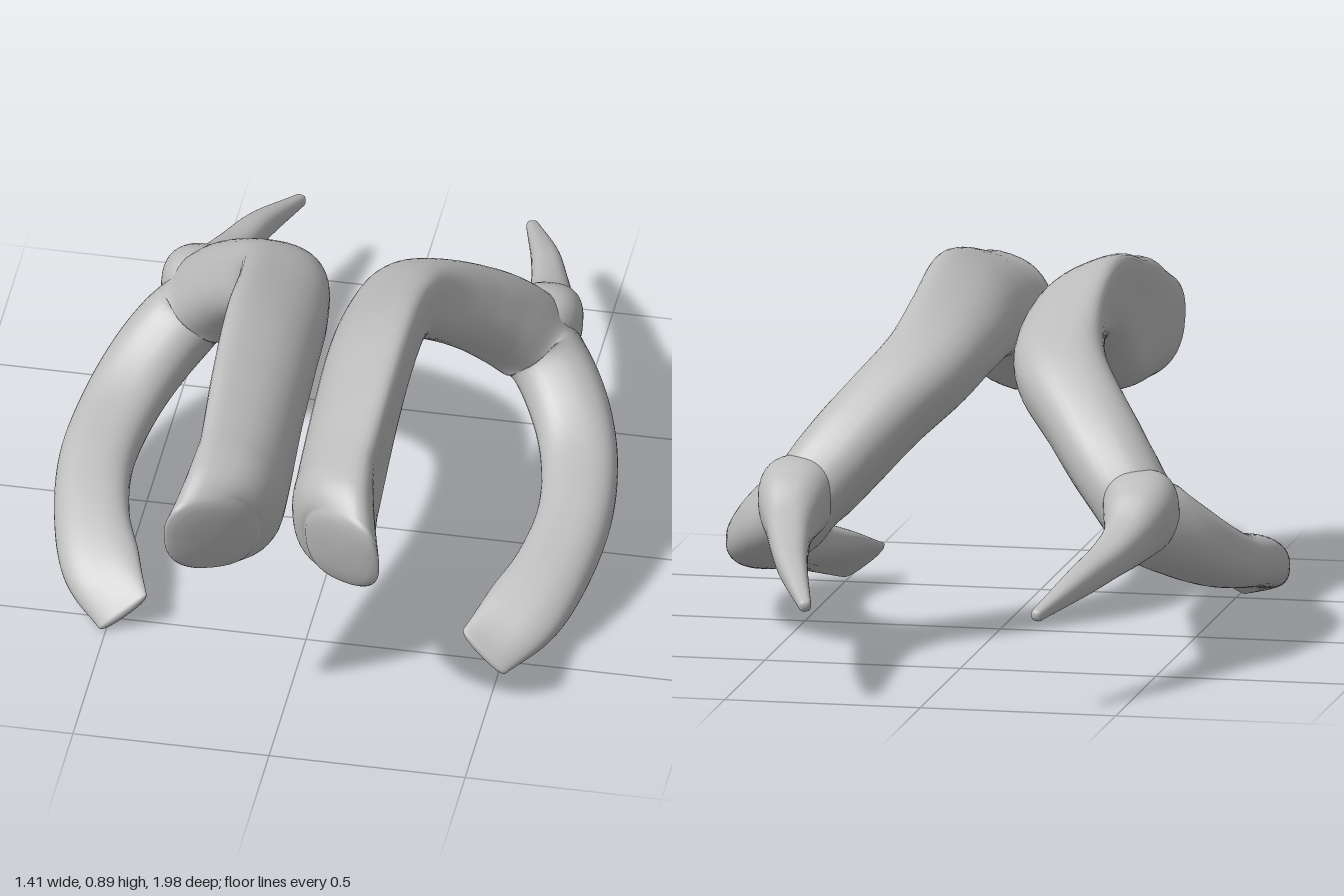
import * as THREE from 'three';

// Stations along each horn: x, y, z, half height, half width, lift of the lateral side
const ARCH = [
  [.168, .60, .902, .135, .11, .01],
  [.145, .622, .82, .163, .127, .025],
  [.14, .65, .70, .16, .128, .045],
  [.142, .727, .50, .125, .13, .055],
  [.142, .763, .30, .108, .13, .055],
  [.145, .74, .10, .093, .125, .04],
  [.175, .68, -.06, .10, .122, .01],
  [.26, .588, -.185, .105, .112, 0],
  [.355, .478, -.285, .11, .107, 0],
  [.44, .375, -.325, .11, .10, 0],
  [.525, .293, -.235, .09, .10, 0],
  [.585, .225, -.09, .073, .097, 0],
  [.61, .183, .10, .067, .094, 0],
  [.587, .14, .28, .06, .095, .01],
  [.535, .098, .42, .044, .097, .02],
  [.46, .052, .535, .016, .067, .035],
];
const SPUR = [
  [.41, .43, -.27, .03, .03, 0],
  [.435, .415, -.36, .092, .09, 0],
  [.441, .388, -.43, .094, .09, 0],
  [.43, .35, -.53, .064, .061, 0],
  [.405, .325, -.65, .046, .048, 0],
  [.365, .298, -.80, .037, .036, 0],
  [.297, .25, -.99, .016, .016, 0],
];

const LATERAL = new THREE.Vector3(1, 0, 0);
const squarer = (t) => Math.sign(t) * Math.abs(t) ** .8;

// Smooth loft through the stations; side = -1 mirrors it in x.
// hollow scoops the lateral face and bevel slants the end, both fading along the path.
function loft(stations, side, rings, hollow, bevel) {
  const around = 40;
  const curve = (n) => new THREE.CatmullRomCurve3(
    stations.map((s) => new THREE.Vector3(...s.slice(n, n + 3))), false, 'catmullrom', 0.5);
  const path = curve(0), size = curve(3);

  // Extra shrinking rings round off both ends
  const caps = [[0, .03], [.5, .028], [.8, .02], [.94, .01]];
  const steps = [
    ...caps.map(([scale, push]) => [0, scale, -push * .7]),
    ...Array.from({ length: rings + 1 }, (_, i) => [i / rings, 1, 0]),
    ...caps.reverse().map(([scale, push]) => [1, scale, push * .4]),
  ];
  const pos = [], index = [];
  steps.forEach(([t, scale, push], i) => {
    const centre = path.getPoint(t), along = path.getTangent(t), s = size.getPoint(t);
    const up = new THREE.Vector3().crossVectors(LATERAL, along).normalize();
    const wide = new THREE.Vector3().crossVectors(along, up).multiplyScalar(s.y);
    wide.addScaledVector(up, s.z);
    wide.z += bevel * Math.max(0, 1 - t * 7);
    centre.addScaledVector(new THREE.Vector3().crossVectors(up, wide).normalize(), push);
    const scoop = hollow * Math.max(0, 1 - t * 2) * Math.min(1, t * 8);

    for (let j = 0; j < around; j++) {
      const angle = j / around * Math.PI * 2, sin = Math.sin(angle);
      const across = squarer(sin) * scale * (sin > 0 ? 1 - scoop * sin * sin : 1);
      const p = centre.clone()
        .addScaledVector(up, squarer(Math.cos(angle)) * scale * s.x)
        .addScaledVector(wide, across);
      pos.push(p.x * side, p.y, p.z);
      if (i === steps.length - 1) continue;
      const p0 = i * around + j, p1 = i * around + (j + 1) % around;
      const q0 = p0 + around, q1 = p1 + around;
      if (side > 0) index.push(p0, p1, q0, p1, q1, q0);
      else index.push(p0, q0, p1, p1, q0, q1);
    }
  });
  const geo = new THREE.BufferGeometry();
  geo.setAttribute('position', new THREE.Float32BufferAttribute(pos, 3));
  geo.setIndex(index);
  geo.computeVertexNormals();
  return geo;
}

export function createModel() {
  const model = new THREE.Group();
  model.name = 'curvedHornPair';
  const grey = new THREE.MeshStandardMaterial({ color: 0xbcbcbc });
  grey.name = 'grey';
  for (const [side, label] of [[1, 'left'], [-1, 'right']]) {
    const half = new THREE.Group();
    half.name = label + 'Half';
    // Broad front horn arching back and curling under into the lower horn
    const arch = new THREE.Mesh(loft(ARCH, side, 120, .5, .09), grey);
    arch.name = label + 'ArchAndLowerHorn';
    // Slender horn pointing backwards
    const spur = new THREE.Mesh(loft(SPUR, side, 50, 0, 0), grey);
    spur.name = label + 'RearHorn';
    half.add(arch, spur);
    model.add(half);
  }
  return model;
}
